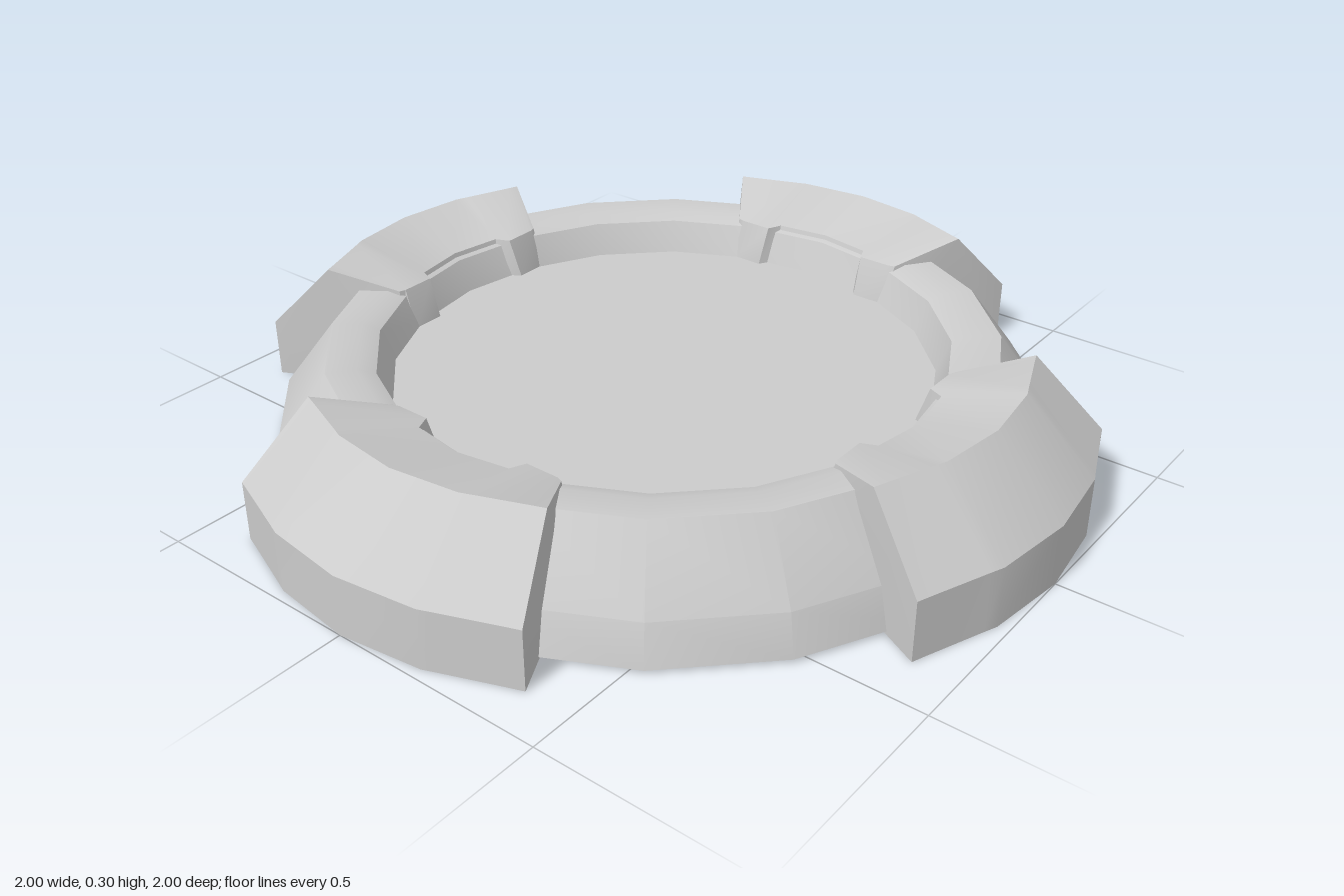
import * as THREE from 'three';
import { toCreasedNormals } from 'three/addons/utils/BufferGeometryUtils.js';

const material = new THREE.MeshStandardMaterial({ color: 0xcccccc, side: THREE.DoubleSide });

function addMesh(parent, name, geometry) {
  const mesh = new THREE.Mesh(geometry, material);
  mesh.name = name;
  parent.add(mesh);
  return mesh;
}

// Half of a clamp from its middle to one end:
// outer wall [x, z], lip edge [x, z], foot of the inner wall [x, z]
const half = [
  { outer: [0, 1], lip: [0, 0.665], foot: [0, 0.635] },
  { outer: [0.195, 0.975], lip: [0.125, 0.645], foot: [0.12, 0.615] },
  { outer: [0.225, 0.963], lip: [0.14, 0.61], foot: [0.145, 0.575] },
  { outer: [0.36, 0.911], lip: [0.22, 0.61], foot: [0.225, 0.575] },
  { outer: [0.39, 0.9], lip: [0.235, 0.615], foot: [0.24, 0.605] },
];

// Cross-section running from the outer foot over the top to the inner foot
function section({ outer, lip, foot }, side) {
  const at = ([x, z], y, s = 1) => [side * x * s, y, z * s];
  return [
    at(outer, 0), at(outer, 0.14), at(outer, 0.3, 0.84),
    at(lip, 0.25), at(foot, 0.15), at(foot, 0),
  ];
}

// Clamp shell, open underneath, with two teeth gripping the rim
function clampGeometry() {
  const columns = [
    ...half.slice(1).reverse().map((c) => section(c, -1)),
    ...half.map((c) => section(c, 1)),
  ];
  const positions = [];
  const tri = (a, b, c) => positions.push(...a, ...b, ...c);
  for (let i = 0; i < columns.length - 1; i++) {
    const p = columns[i], q = columns[i + 1];
    for (let j = 0; j < p.length - 1; j++) {
      tri(p[j], q[j], q[j + 1]);
      tri(p[j], q[j + 1], p[j + 1]);
    }
  }
  // End walls, fanned from the crest
  const left = columns[0], right = columns[columns.length - 1];
  for (let k = 0; k < 4; k++) {
    const a = (3 + k) % 6, b = (4 + k) % 6;
    tri(left[2], left[a], left[b]);
    tri(right[2], right[b], right[a]);
  }
  const geometry = new THREE.BufferGeometry();
  geometry.setAttribute('position', new THREE.Float32BufferAttribute(positions, 3));
  return toCreasedNormals(geometry, 0.5);
}

export function createModel() {
  const model = new THREE.Group();
  model.name = 'clampedDish';

  // Rounded rim, hollow underneath
  const profile = [
    [0.9, 0.008], [0.875, 0.1], [0.76, 0.25], [0.69, 0.25], [0.65, 0.235], [0.62, 0.16],
  ].map(([r, y]) => new THREE.Vector2(r, y));
  addMesh(model, 'rim', toCreasedNormals(new THREE.LatheGeometry(profile, 20), 0.45));

  // Flat floor inside the rim
  const floor = addMesh(model, 'floor', new THREE.CircleGeometry(0.62, 20));
  floor.rotation.x = -Math.PI / 2;
  floor.position.y = 0.16;

  // Four clamps around the rim
  const geometry = clampGeometry();
  ['front', 'left', 'back', 'right'].forEach((name, i) => {
    addMesh(model, name + 'Clamp', geometry).rotation.y = (i * Math.PI) / 2;
  });

  return model;
}
